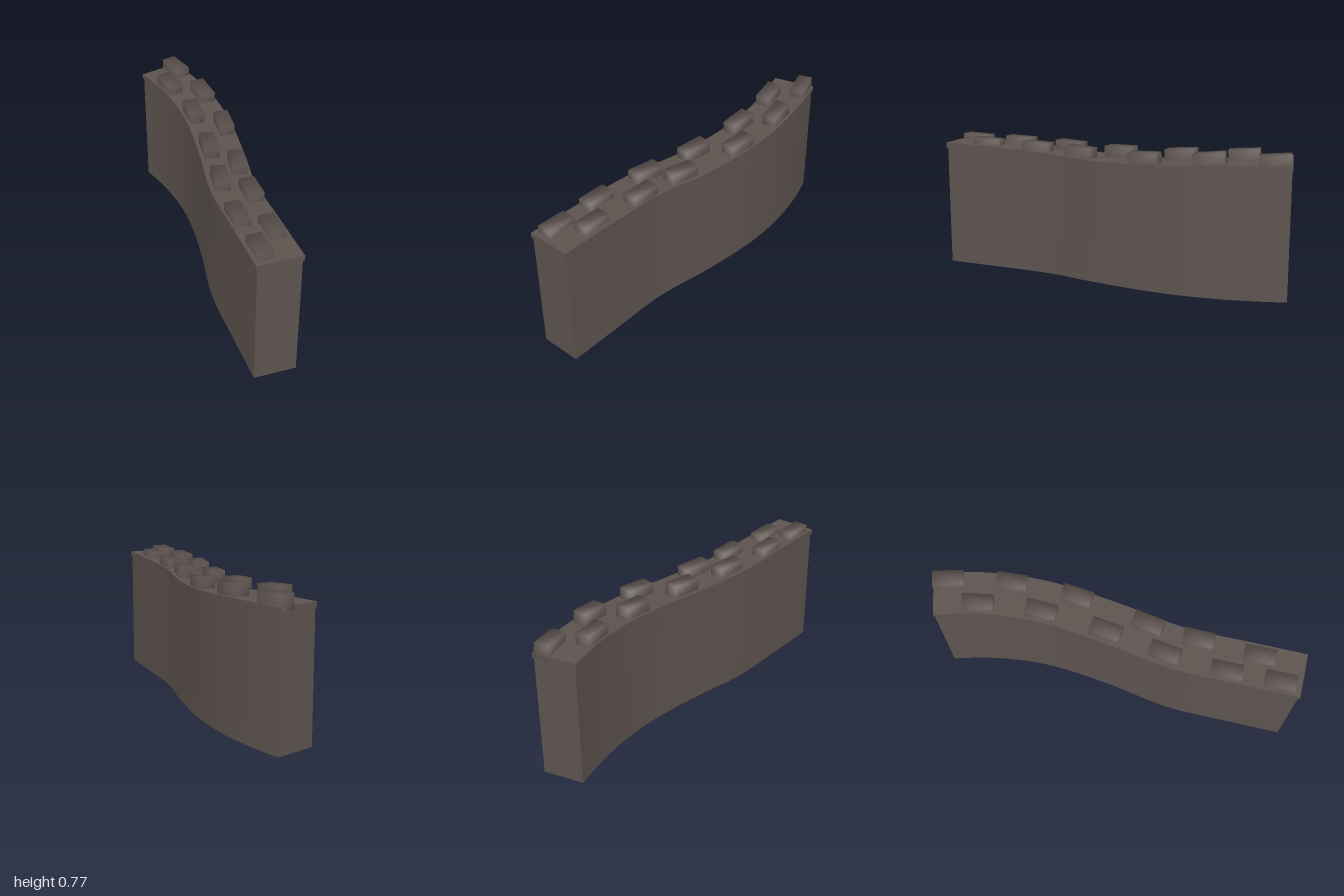
import * as THREE from 'three';
import { mergeGeometries, mergeVertices } from 'three/addons/utils/BufferGeometryUtils.js';

// Centre line of the wall from front to back; y is the height of its top
const path = new THREE.CatmullRomCurve3([
  [-0.098, 0.705, 0.988], [-0.075, 0.699, 0.66], [-0.048, 0.686, 0.34], [0.033, 0.673, 0],
  [0.086, 0.682, -0.3], [0.099, 0.692, -0.5], [0.088, 0.702, -0.7], [0.065, 0.705, -0.85],
  [0.037, 0.706, -0.978],
].map((p) => new THREE.Vector3(...p)));
const STEPS = 28;
const SLAB = 0.028;

// Line running beside the path at a sideways offset, with its height given by a rule
function line(offset, heightAt, inset, flare = 0) {
  const points = [];
  for (let i = 0; i <= STEPS; i++) {
    const u = inset + (1 - 2 * inset) * (i / STEPS);
    const c = path.getPoint(u), t = path.getTangent(u);
    const s = (offset + flare * Math.sin(Math.PI * u)) / Math.hypot(t.x, t.z);
    points.push([c.x - t.z * s, heightAt(c.y), c.z + t.x * s]);
  }
  return points;
}

// Surface between two lines of points, smooth along its length
function strip(a, b) {
  const pos = [], index = [];
  a.forEach((p, i) => {
    pos.push(...p, ...b[i]);
    const k = i * 2;
    if (i < a.length - 1) index.push(k, k + 1, k + 2, k + 1, k + 3, k + 2);
  });
  const g = new THREE.BufferGeometry();
  g.setAttribute('position', new THREE.Float32BufferAttribute(pos, 3));
  g.setIndex(index);
  g.computeVertexNormals();
  return g;
}

// Upright faces around a run: both long sides and both ends
function shell(tl, tr, br, bl) {
  const n = STEPS;
  return [
    strip(tr, br), strip(bl, tl),
    strip([bl[0], tl[0]], [br[0], tr[0]]),
    strip([br[n], tr[n]], [bl[n], tl[n]]),
  ];
}

// Softly shaded block with shared corner normals and no underside
function blockGeometry() {
  const g = new THREE.BoxGeometry(0.08, 0.08, 0.163);
  const faces = Array.from(g.index.array);
  faces.splice(18, 6);
  g.setIndex(faces);
  g.clearGroups();
  g.deleteAttribute('uv');
  g.deleteAttribute('normal');
  const merged = mergeVertices(g);
  merged.computeVertexNormals();
  return merged;
}

export function createModel() {
  const group = new THREE.Group();
  const stone = new THREE.MeshStandardMaterial({ color: 0x5d534f, side: THREE.DoubleSide });
  stone.name = 'brown grey stone';
  const add = (name, geometry) => {
    const mesh = new THREE.Mesh(geometry, stone);
    mesh.name = name;
    group.add(mesh);
    return mesh;
  };

  // Hollow wall body, open below and above
  const under = (y) => y - SLAB, ground = () => 0, top = (y) => y;
  const wall = [
    line(-0.111, under, 0.002), line(0.111, under, 0.002),
    line(0.111, ground, 0.002, 0.004), line(-0.111, ground, 0.002, -0.004),
  ];
  add('wallBody', mergeGeometries(shell(...wall)));

  // Coping slab: top, edges and the narrow lip around the wall
  const slab = [
    line(-0.119, top, 0), line(0.119, top, 0),
    line(0.119, under, 0), line(-0.119, under, 0),
  ];
  const [wl, wr] = wall, [tl, tr, br, bl] = slab, n = STEPS;
  add('copingSlab', mergeGeometries([
    ...shell(...slab), strip(tl, tr), strip(br, wr), strip(wl, bl),
    strip([br[0], wr[0]], [bl[0], wl[0]]),
    strip([wr[n], br[n]], [wl[n], bl[n]]),
  ]));

  // Staggered blocks in two rows: x, z, height of top, pitch
  const block = blockGeometry();
  [
    [-0.149, 0.872, 0.739, -0.03], [-0.029, 0.752, 0.737, -0.03],
    [-0.138, 0.596, 0.739, -0.03], [0.011, 0.431, 0.738, -0.03],
    [-0.089, 0.27, 0.737, -0.03], [0.055, 0.16, 0.733, -0.04],
    [-0.017, -0.05, 0.737, 0.03], [0.144, -0.231, 0.737, 0.05],
    [0.031, -0.401, 0.748, 0.07], [0.159, -0.583, 0.757, 0.1],
    [0.014, -0.733, 0.761, 0.06], [0.12, -0.913, 0.759, 0.06],
  ].forEach(([x, z, height, pitch], i) => {
    const t = path.getTangentAt((0.988 - z) / 1.966);
    const mesh = add(`topBlock${i + 1}`, block);
    mesh.position.set(x, height - 0.04, z);
    mesh.rotation.set(pitch, Math.atan2(-t.x, -t.z), 0, 'YXZ');
  });
  return group;
}
